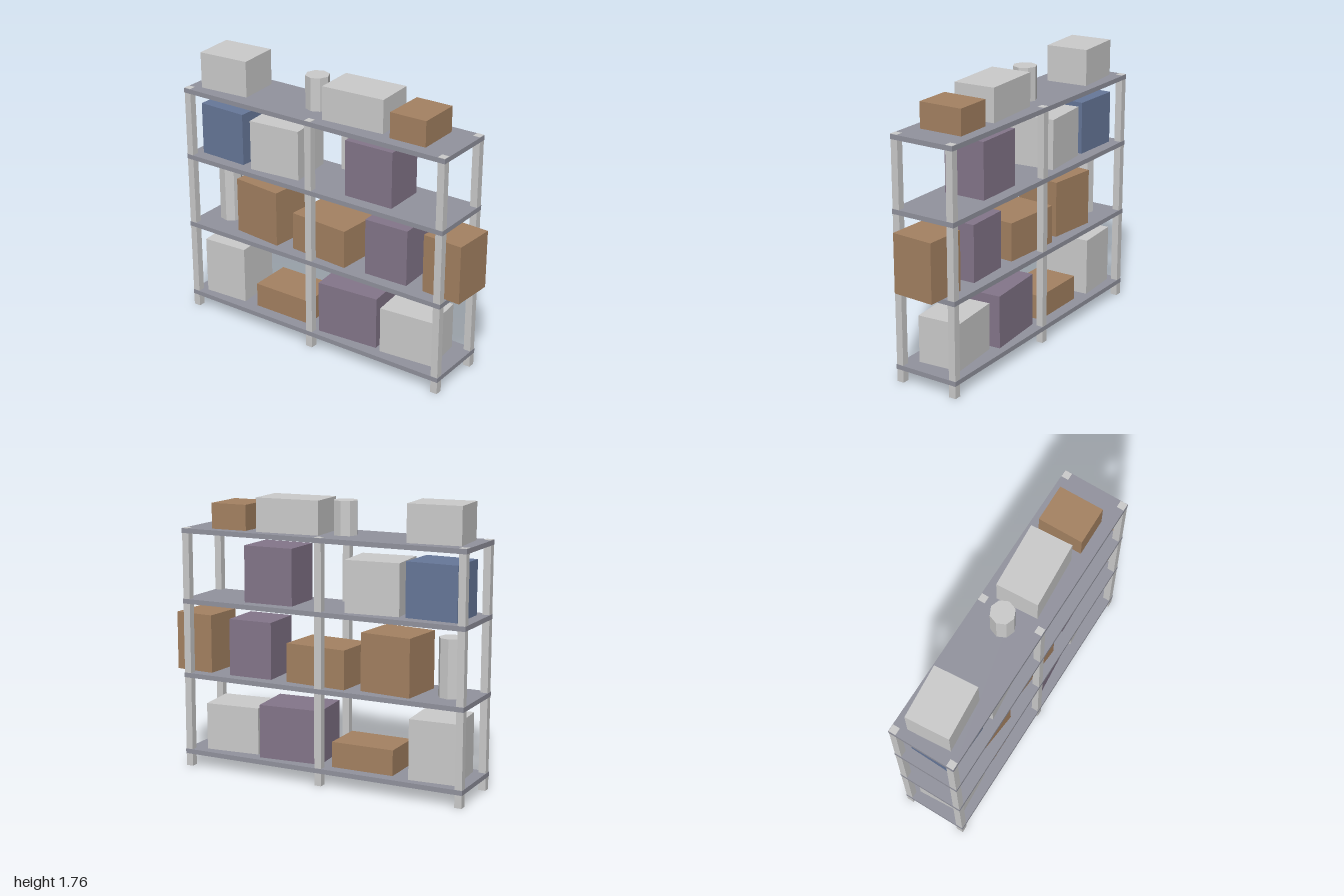
import * as THREE from 'three';

const mat = (color) => new THREE.MeshStandardMaterial({ color, flatShading: true });

export function createModel() {
  const group = new THREE.Group();
  const grey = mat(0xcccccc), steel = mat(0x92939e);
  const brown = mat(0xa58262), purple = mat(0x84768a), blue = mat(0x67789a);

  const add = (name, geometry, material, x, y, z, turn = 0) => {
    const mesh = new THREE.Mesh(geometry, material);
    mesh.name = name;
    mesh.position.set(x, y, z);
    mesh.rotation.y = turn;
    group.add(mesh);
  };

  // Box standing on a shelf between x0 and x1, turned slightly about y
  const crate = (base, [x0, x1, top, depth, turn, material, z = 0]) => {
    const width = (x1 - x0 - depth * Math.abs(Math.sin(turn))) / Math.cos(turn);
    const h = top - base;
    add('box', new THREE.BoxGeometry(width, h, depth), material, (x0 + x1) / 2, base + h / 2, z, turn);
  };

  // Eight-sided canister
  const canister = (x, base, top, turn) => {
    const h = top - base;
    add('canister', new THREE.CylinderGeometry(0.075, 0.075, h, 8), grey, x, base + h / 2, -0.005, turn);
  };

  // Shelf boards, given by the height of their top faces
  const levels = [0.11, 0.61, 1.085, 1.53];
  for (const y of levels) add('shelf', new THREE.BoxGeometry(1.9, 0.03, 0.43), steel, -0.05, y - 0.015, 0);

  // Posts, just proud of the top board
  for (const x of [-0.975, -0.05, 0.875])
    for (const z of [-0.19, 0.19])
      add('post', new THREE.BoxGeometry(0.046, 1.532, 0.046), grey, x, 0.766, z);

  // Boxes per shelf: x0, x1, top, depth, turn, material, z
  const boxes = [
    [
      [-0.935, -0.615, 0.485, 0.31, 0.06, grey],
      [-0.52, -0.11, 0.27, 0.28, 0.005, brown],
      [-0.03, 0.405, 0.45, 0.305, 0.08, purple],
      [0.42, 0.8, 0.41, 0.275, 0.09, grey],
    ],
    [
      [-0.665, -0.3, 0.97, 0.3, -0.1, brown],
      [-0.225, 0.205, 0.855, 0.3, -0.07, brown],
      [0.315, 0.615, 0.97, 0.28, 0.03, purple],
      [0.725, 1, 0.98, 0.275, -0.055, brown],
    ],
    [
      [-0.93, -0.59, 1.42, 0.28, -0.03, blue],
      [-0.55, -0.18, 1.405, 0.3, 0.09, grey],
      [0.167, 0.5, 1.44, 0.275, 0.015, purple],
    ],
    [
      [-0.935, -0.58, 1.76, 0.275, 0.075, grey, -0.005],
      [-0.01, 0.42, 1.74, 0.265, 0.06, grey, -0.005],
      [0.48, 0.724, 1.69, 0.285, 0.012, brown, -0.003],
    ],
  ];
  boxes.forEach((row, i) => row.forEach((b) => crate(levels[i], b)));

  canister(-0.83, levels[1], 0.97, 0.15);
  canister(-0.133, levels[3], 1.74, 0.04);

  return group;
}
